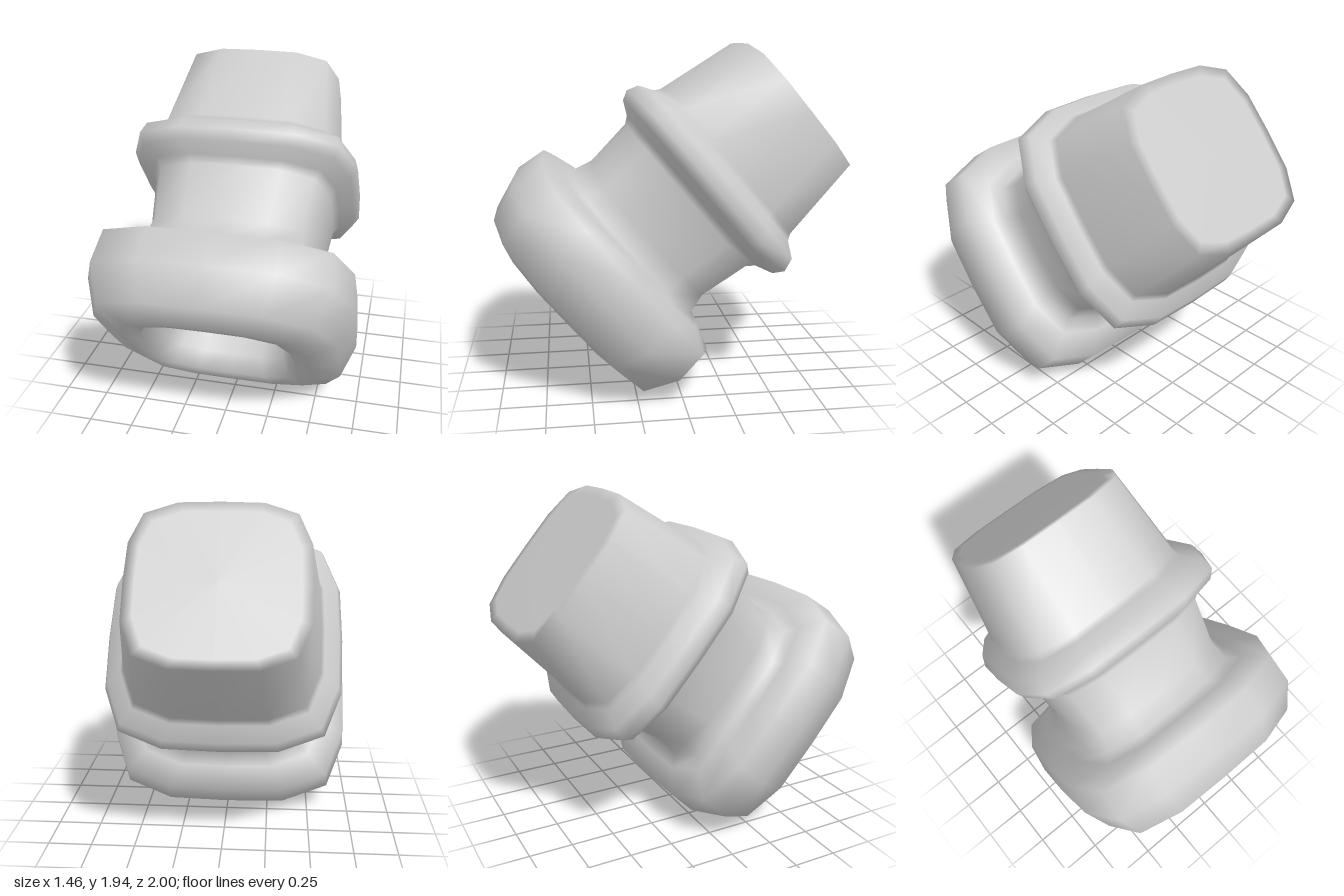
import * as THREE from 'three';

// One quadrant of the rounded-square section (unit half-width)
const CORNER = [[1, 0], [0.987, 0.475], [0.845, 0.845], [0.475, 0.987]];

// Loft rounded squares along z; profile rows are [distance back from the mouth, half-width]
function loft(profile) {
  const section = [];
  for (let q = 0; q < 4; q++) {
    for (const [x, y] of CORNER) {
      const p = new THREE.Vector2(x, y).rotateAround(new THREE.Vector2(), q * Math.PI / 2);
      section.push(p);
    }
  }
  const n = section.length, pos = [], idx = [];
  profile.forEach(([s, r], i) => {
    section.forEach((p, j) => {
      pos.push(p.x * r, p.y * r, -s);
      if (i === profile.length - 1) return;
      const k = (j + 1) % n;
      const a = i * n + j, b = i * n + k, c = a + n, d = b + n;
      if (r > 0) idx.push(a, b, d);
      if (profile[i + 1][1] > 0) idx.push(a, d, c);
    });
  });
  const g = new THREE.BufferGeometry();
  g.setAttribute('position', new THREE.Float32BufferAttribute(pos, 3));
  g.setIndex(idx);
  g.computeVertexNormals();
  return g;
}

export function createModel() {
  const group = new THREE.Group();
  const material = new THREE.MeshStandardMaterial({ color: 0xcccccc });

  const profile = [
    // flat end cap
    [1.555, 0], [1.555, 0.41], [1.552, 0.467],
    // tapered plug
    [1.05, 0.535],
    // raised collar
    [1.015, 0.555], [0.964, 0.635], [0.891, 0.658], [0.834, 0.627], [0.791, 0.545],
    // neck
    [0.75, 0.515], [0.45, 0.482], [0.336, 0.51],
    // thick flange
    [0.316, 0.58], [0.267, 0.712], [0.076, 0.732], [-0.119, 0.66], [-0.175, 0.51],
    // hollow mouth
    [-0.16, 0.42], [-0.06, 0.365], [0.36, 0.33], [0.42, 0.27], [0.43, 0],
  ];
  const body = new THREE.Mesh(loft(profile), material);
  body.name = 'flangedNozzle';

  // Mouth tips forward and down
  body.rotation.x = THREE.MathUtils.degToRad(40);
  body.position.set(0, 0.584, 0.49);
  group.add(body);
  return group;
}
